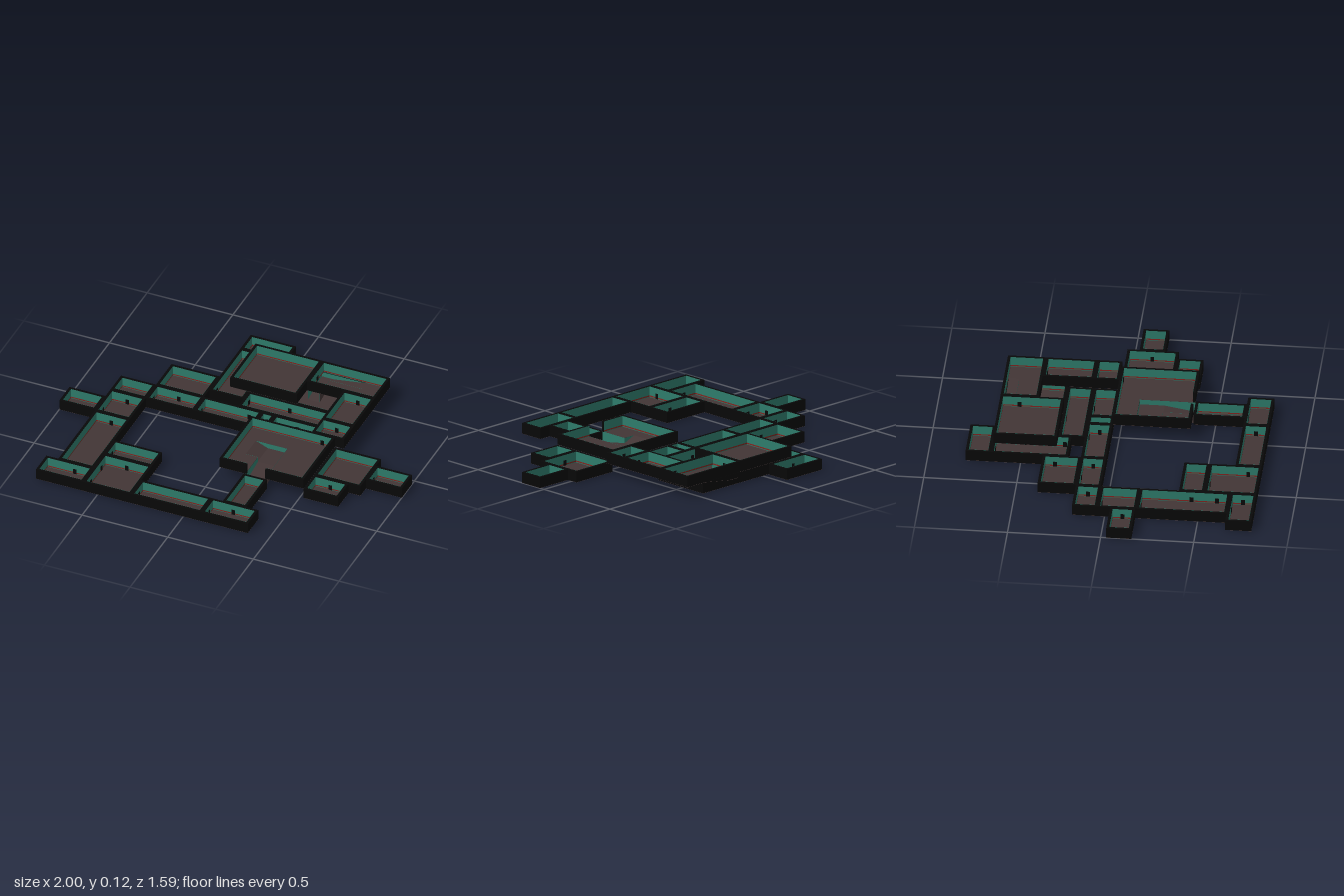
import * as THREE from 'three';
import { mergeGeometries } from 'three/addons/utils/BufferGeometryUtils.js';

const H = 0.06;    // storey height
const W = 0.014;   // wall thickness of one room
const E = 0.0012;  // offset of the thin wall finishes

// name, x0, x1, z0, z1 (outer bounds)
const LOWER = [
  ['backRoom', -0.305, -0.04, -0.795, -0.66],
  ['backPassage', -0.305, -0.105, -0.66, -0.245],
  ['lowerChamber', -0.105, 0.45, -0.652, -0.315],
  ['innerCorridor', -0.105, 0.385, -0.315, -0.175],
  ['rightCornerRoom', -0.79, -0.585, -0.175, -0.04],
  ['crossCorridorA', -0.585, -0.305, -0.175, -0.04],
  ['crossCorridorB', -0.305, 0.035, -0.175, -0.04],
  ['smallLobby', 0.035, 0.11, -0.175, -0.04],
  ['crossCorridorC', 0.11, 0.385, -0.175, -0.04],
  ['sideRoom', -0.585, -0.305, -0.38, -0.175],
  ['rightPassage', -0.79, -0.585, -0.04, 0.17],
  ['rightEntrance', -1, -0.79, 0.03, 0.165],
  ['longPassage', -0.79, -0.585, 0.17, 0.655],
  ['frontCornerRoom', -0.86, -0.585, 0.655, 0.795],
  ['closet', -0.585, -0.305, 0.38, 0.515],
  ['frontRoom', -0.585, -0.305, 0.515, 0.795],
  ['frontCorridor', -0.305, 0.105, 0.655, 0.795],
  ['frontEndRoom', 0.105, 0.377, 0.655, 0.795],
  ['hallApproach', 0.17, 0.307, 0.38, 0.655],
  ['leftRoom', 0.52, 0.79, -0.035, 0.24],
  ['leftAnnex', 0.52, 0.722, 0.24, 0.38],
  ['leftEntrance', 0.79, 1, 0.03, 0.168],
];
// may add: floor pieces around a stairwell, opening in the front wall
const UPPER = [
  ['upperChamber', -0.215, 0.175, -0.655, -0.315],
  ['upperStairRoom', 0.175, 0.57, -0.655, -0.45,
    [[0.25, 0.57, -0.58, -0.45], [0.44, 0.57, -0.655, -0.58]]],
  ['upperLeftRoom', 0.385, 0.57, -0.45, -0.175],
  ['upperLink', 0.385, 0.57, -0.175, -0.04],
  ['greatHall', 0.03, 0.52, -0.04, 0.38,
    [[0.03, 0.11, -0.04, 0.38], [0.295, 0.52, -0.04, 0.38],
      [0.11, 0.295, -0.04, 0.08], [0.11, 0.18, 0.215, 0.38]], [0.187, 0.295]],
];

function quad(a, b, c, d) {
  const g = new THREE.BufferGeometry();
  g.setAttribute('position', new THREE.Float32BufferAttribute([a, b, c, a, c, d].flat(), 3));
  g.computeVertexNormals();
  return g;
}

// rectangle facing up: height at the back x0, back x1 and both front corners
const slab = ([x0, x1, z0, z1], y, yX1 = y, front = null) =>
  quad([x0, y, z0], [x0, front ?? y, z1], [x1, front ?? yX1, z1], [x1, yX1, z0]);

// vertical strip between two plan points; the bottom may slope
const strip = ([ax, az], [bx, bz], ya, yb, top) =>
  quad([ax, ya, az], [bx, yb, bz], [bx, top, bz], [ax, top, az]);

function block(x0, x1, y0, y1, z0, z1) {
  const g = new THREE.BoxGeometry(x1 - x0, y1 - y0, z1 - z0).toNonIndexed();
  g.translate((x0 + x1) / 2, (y0 + y1) / 2, (z0 + z1) / 2);
  g.deleteAttribute('uv');
  return g;
}

export function createModel() {
  const material = (name, color, side = THREE.DoubleSide) => {
    const m = new THREE.MeshStandardMaterial({ color, side });
    m.name = name;
    return m;
  };
  const mats = {
    walls: material('black', 0x080808, THREE.FrontSide),
    lining: material('teal', 0x2e7b6b),
    skirting: material('dark red', 0x84221e),
    floor: material('brown', 0x423535),
  };
  mats.doors = mats.walls;

  const model = new THREE.Group();
  model.name = 'floorPlan';

  const addParts = (name, parts) => {
    const group = new THREE.Group();
    group.name = name;
    for (const [part, list] of Object.entries(parts)) {
      if (!list.length) continue;
      const mesh = new THREE.Mesh(mergeGeometries(list), mats[part]);
      mesh.name = part;
      group.add(mesh);
    }
    model.add(group);
  };

  function addRoom([name, x0, x1, z0, z1, pieces, gap], y, neighbours) {
    const parts = { walls: [], lining: [], skirting: [], floor: [], doors: [] };
    const base = y + 0.001, top = y + H;
    (pieces ?? [[x0, x1, z0, z1]]).forEach((r) => parts.floor.push(slab(r, y)));

    // black wall shell; the front wall may be split by an opening
    const spans = gap ? [[x0, gap[0]], [gap[1], x1]] : [[x0, x1]];
    parts.walls.push(block(x0, x0 + W, base, top, z0, z1), block(x1 - W, x1, base, top, z0, z1));
    parts.walls.push(block(x0 + W, x1 - W, base, top, z0, z0 + W));
    spans.forEach(([a, b]) => parts.walls.push(block(a, b, base, top, z1 - W, z1)));

    // teal wall finish and red line on the inside
    const face = (k) => {
      const l = x0 + W + k, r = x1 - W - k, b = z0 + W + k, f = z1 - W - k;
      const list = [[[l, b], [r, b]], [[l, f], [l, b]], [[r, b], [r, f]]];
      spans.forEach(([s, e]) => list.push([[Math.max(s, l), f], [Math.min(e, r), f]]));
      return list;
    };
    face(E).forEach(([a, b]) => parts.lining.push(strip(a, b, y, y, top)));
    face(2 * E).forEach(([a, b]) => parts.skirting.push(strip(a, b, y + 0.004, y + 0.004, y + 0.011)));

    // small black doors where two rooms share a wall
    const d = 0.01, t = W + 0.0035, h = y + 0.03;
    for (const [other, p0, p1, q0, q1] of neighbours) {
      if (other === name) continue;
      const cx = (Math.max(x0, p0) + Math.min(x1, p1)) / 2;
      const cz = (Math.max(z0, q0) + Math.min(z1, q1)) / 2;
      const overX = Math.min(x1, p1) - Math.max(x0, p0) > 0.06;
      const overZ = Math.min(z1, q1) - Math.max(z0, q0) > 0.06;
      if (x1 === p0 && overZ) parts.doors.push(block(x1 - t, x1 + t, base, h, cz - d, cz + d));
      if (z1 === q0 && overX) parts.doors.push(block(cx - d, cx + d, base, h, z1 - t, z1 + t));
    }
    addParts(name, parts);
  }

  const U = H + 0.001, M = 0.032, B = 0.003; // upper floor, landing, foot of the stairs
  LOWER.forEach((r) => addRoom(r, 0, LOWER));
  UPPER.forEach((r) => addRoom(r, U, UPPER));

  // L-shaped stairwells: slope to a landing, then down to the lower storey.
  // Each side: plan points a and b, bottom heights there, inward direction.
  function addStairs(name, floor, sides) {
    const lining = [];
    for (const [a, b, ya, yb, nx, nz] of sides) {
      const inward = ([x, z]) => [x + nx * E, z + nz * E];
      floor.push(strip(a, b, ya, yb, U));
      lining.push(strip(inward(a), inward(b), ya, yb, U));
    }
    addParts(name, { floor, lining });
  }
  addStairs('hallStairs', [
    slab([0.11, 0.18, 0.08, 0.215], U, M),
    slab([0.18, 0.295, 0.08, 0.215], M),
    slab([0.18, 0.295, 0.215, 0.38], M, M, B),
  ], [
    [[0.11, 0.08], [0.18, 0.08], U, M, 0, 1],
    [[0.18, 0.08], [0.295, 0.08], M, M, 0, 1],
    [[0.295, 0.08], [0.295, 0.215], M, M, -1, 0],
    [[0.295, 0.215], [0.295, 0.38], M, B, -1, 0],
    [[0.18, 0.215], [0.18, 0.38], M, B, 1, 0],
    [[0.11, 0.215], [0.18, 0.215], U, M, 0, -1],
  ]);
  addStairs('backStairs', [
    slab([0.25, 0.44, -0.655, -0.58], M, U),
    slab([0.18, 0.25, -0.655, -0.58], M),
    slab([0.18, 0.25, -0.58, -0.45], M, M, B),
  ], [
    [[0.25, -0.58], [0.44, -0.58], M, U, 0, -1],
    [[0.25, -0.58], [0.25, -0.45], M, B, -1, 0],
    [[0.18, -0.58], [0.18, -0.45], M, B, 1, 0],
    [[0.18, -0.65], [0.18, -0.58], M, M, 1, 0],
  ]);
  return model;
}
